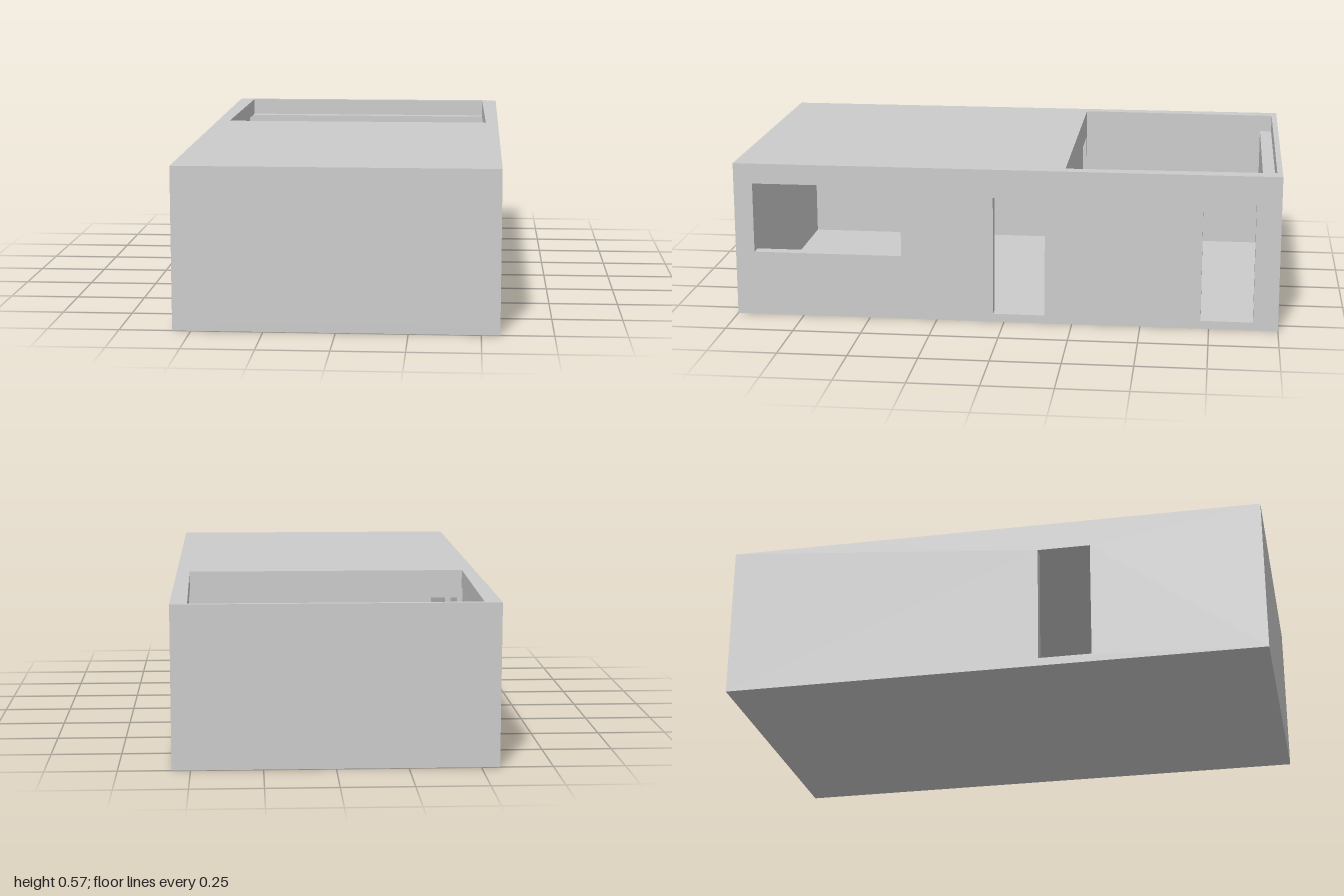
import * as THREE from 'three';

const W = 0.565, H = 0.575, L = 1;        // half width, height, half length
const SIDE = 0.045, END = 0.065;          // wall thicknesses
const FLOOR = 0.03, CEILING = 0.51;
const DOOR_TOP = 0.47;
const INNER = W - SIDE;

const material = new THREE.MeshStandardMaterial({ color: 0xcccccc, flatShading: true });

const polygon = (points, Type = THREE.Shape) =>
  new Type(points.map(([a, b]) => new THREE.Vector2(a, b)));
const rect = (a0, b0, a1, b1) => [[a0, b0], [a1, b0], [a1, b1], [a0, b1]];

// Flat slab with openings cut through it
function slab(name, outline, openings, depth) {
  const shape = polygon(outline);
  shape.holes = openings.map((o) => polygon([...o].reverse(), THREE.Path));
  const geometry = new THREE.ExtrudeGeometry(shape, { depth, bevelEnabled: false });
  const mesh = new THREE.Mesh(geometry, material);
  mesh.name = name;
  return mesh;
}

// Long wall: shape drawn as (-z, y) and turned to face sideways
function sideWall(name, x, openings) {
  const wall = slab(name, rect(-L, 0, L, H),
    openings.map(([z0, y0, z1, y1]) => rect(-z1, y0, -z0, y1)), SIDE);
  wall.rotation.y = Math.PI / 2;
  wall.position.x = x;
  return wall;
}

// Cross wall: shape drawn as (x, y), between floor and roof
function crossWall(name, z, openings = []) {
  const wall = slab(name, rect(-INNER, FLOOR, INNER, CEILING), openings, END);
  wall.position.z = z;
  return wall;
}

// Horizontal slab: shape drawn as (x, -z)
function level(name, y, depth, openings = []) {
  const plate = slab(name, rect(-INNER, -L, INNER, L), openings, depth);
  plate.rotation.x = -Math.PI / 2;
  plate.position.y = y;
  return plate;
}

export function createModel() {
  const model = new THREE.Group();
  model.name = 'house';

  // Long walls with a window and doors
  model.add(sideWall('leftWall', INNER, [
    [0.38, 0.24, 0.93, 0.5],
    [-0.15, FLOOR, 0.04, DOOR_TOP],
    [-0.91, FLOOR, -0.72, DOOR_TOP],
  ]));
  model.add(sideWall('rightWall', -W, [[0.175, FLOOR, 0.37, DOOR_TOP]]));

  // End walls and the partition with its doorway
  model.add(crossWall('frontWall', L - END));
  model.add(crossWall('backWall', -L));
  model.add(crossWall('partition', -0.22, [rect(-0.5, FLOOR + 0.001, -0.31, DOOR_TOP)]));

  // Floor, and roof left open over the rear room
  model.add(level('floor', 0, FLOOR));
  model.add(level('roof', CEILING, H - CEILING, [
    [[-0.517, 0.22], [0.517, 0.22], [0.505, 0.98], [-0.505, 0.98]],
  ]));
  return model;
}
